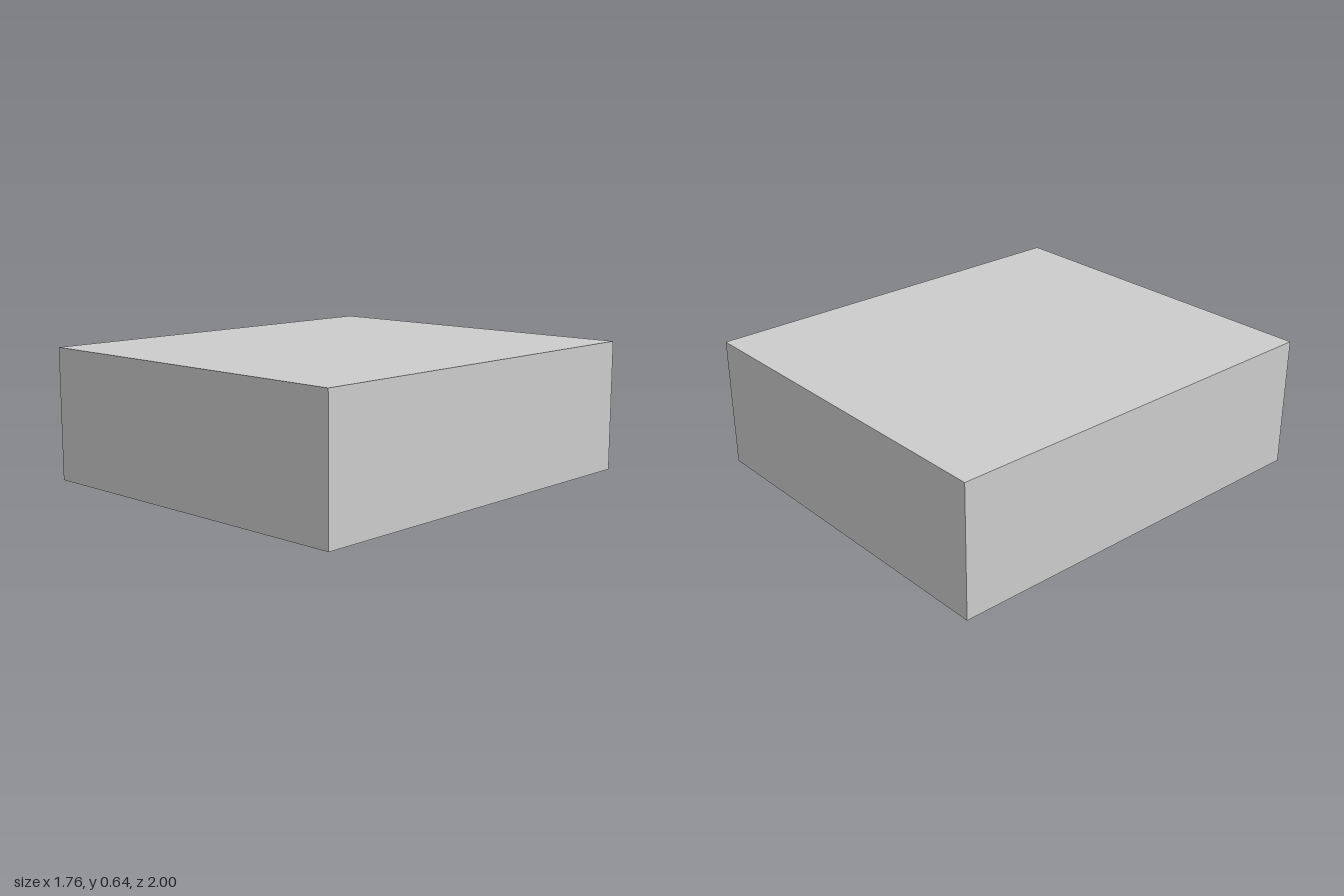
import * as THREE from 'three';

const W = 1.764, H = 0.64, D = 2;
const CEILING = 0.55;                 // height of the pocket ceilings
const X0 = -0.746, X1 = 0.77;         // pocket ends
const POCKETS = [[-0.866, -0.26], [-0.15, 0.327], [0.404, 0.932]]; // z ranges, back to front

// Box standing on y = 0 without its bottom face; inward turns the faces inside
function openBox(x0, x1, z0, z1, h, inward) {
  const g = new THREE.BoxGeometry(x1 - x0, h, z1 - z0);
  g.translate((x0 + x1) / 2, h / 2, (z0 + z1) / 2);
  const index = Array.from(g.index.array).filter((_, i) => i < 18 || i >= 24);
  if (inward) {
    index.reverse();
    const n = g.attributes.normal;
    for (let i = 0; i < n.count; i++) n.setXYZ(i, -n.getX(i), -n.getY(i), -n.getZ(i));
  }
  g.setIndex(index);
  g.clearGroups();
  return g;
}

// Adds a rectangle to a shape or path
function rect(p, x0, x1, z0, z1) {
  p.moveTo(x0, z0).lineTo(x1, z0).lineTo(x1, z1).lineTo(x0, z1).closePath();
  return p;
}

export function createModel() {
  const group = new THREE.Group();
  group.name = 'hollowBlock';
  const material = new THREE.MeshStandardMaterial({ color: 0xcccccc });
  const add = (name, geometry) => {
    const mesh = new THREE.Mesh(geometry, material);
    mesh.name = name;
    group.add(mesh);
  };

  // Outer walls and top
  add('outerShell', openBox(-W / 2, W / 2, -D / 2, D / 2, H, false));

  // Underside rim and dividers, facing down
  const rim = rect(new THREE.Shape(), -W / 2, W / 2, -D / 2, D / 2);
  for (const [z0, z1] of POCKETS) rim.holes.push(rect(new THREE.Path(), X0, X1, z0, z1));
  add('undersideRim', new THREE.ShapeGeometry(rim).rotateX(Math.PI / 2));

  // Pockets open at the bottom, running side to side
  POCKETS.forEach(([z0, z1], i) => add('pocket' + (i + 1), openBox(X0, X1, z0, z1, CEILING, true)));

  return group;
}
